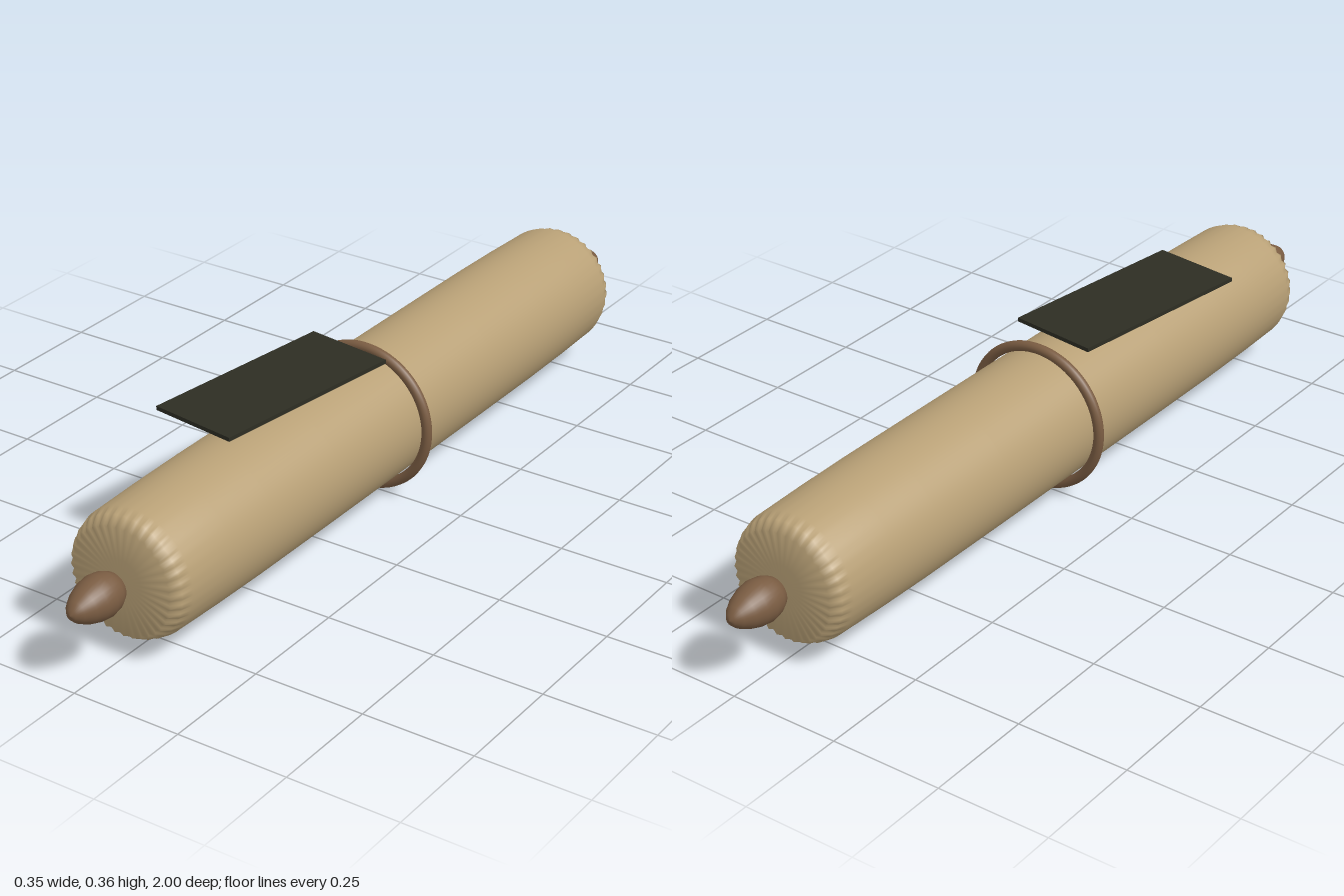
import * as THREE from 'three';
import { mergeVertices } from 'three/addons/utils/BufferGeometryUtils.js';

const AXIS_Y = 0.176;
const PLEATS = 36;

const mat = (name, color) => {
  const m = new THREE.MeshStandardMaterial({ color });
  m.name = name;
  return m;
};

// Lathe along z from [radius, z] pairs, ordered back to front
function latheZ(profile, segments) {
  const g = new THREE.LatheGeometry(profile.map(([r, z]) => new THREE.Vector2(r, z)), segments);
  g.rotateX(Math.PI / 2);
  return g;
}

// Round roll with softly tapered, gathered ends
function rollGeometry() {
  const half = [[0.148, 0.3], [0.1475, 0.53], [0.1455, 0.67], [0.142, 0.8], [0.134, 0.825],
    [0.12, 0.845], [0.05, 0.847], [0, 0.847]];
  const back = half.map(([r, z]) => [r, -z]).reverse();
  const g = latheZ([...back, [0.148, 0], ...half], PLEATS * 4);
  const p = g.attributes.position;
  for (let i = 0; i < p.count; i++) {
    const x = p.getX(i), y = p.getY(i), z = p.getZ(i);
    const r = Math.hypot(x, y);
    if (Math.abs(z) < 0.82 || r < 0.1) continue;
    // pleats ripple only around the end rim
    const depth = Math.abs(z) > 0.84 ? 0.004 : 0.0015;
    const k = 1 + depth * Math.cos(PLEATS * Math.atan2(y, x)) / r;
    p.setXY(i, x * k, y * k);
  }
  g.deleteAttribute('uv');
  g.deleteAttribute('normal');
  const merged = mergeVertices(g, 1e-5);
  merged.computeVertexNormals();
  return merged;
}

export function createModel() {
  const model = new THREE.Group();
  model.name = 'wrappedRoll';
  const wrap = mat('tan cloth', 0xb8a076);
  const wood = mat('brown cord', 0x7a5c42);
  const dark = mat('dark card', 0x2d2d23);

  const add = (name, geometry, material, x = 0, y = AXIS_Y, z = 0) => {
    const mesh = new THREE.Mesh(geometry, material);
    mesh.name = name;
    mesh.position.set(x, y, z);
    model.add(mesh);
    return mesh;
  };

  add('roll', rollGeometry(), wrap);
  add('middleRing', new THREE.TorusGeometry(0.1615, 0.0115, 16, 96), wood);

  // Egg-shaped end knobs, pointed outward
  const knob = latheZ([[0, 0.858], [0.02, 0.86], [0.034, 0.87], [0.043, 0.888], [0.047, 0.912],
    [0.044, 0.936], [0.036, 0.961], [0.024, 0.983], [0.012, 0.996], [0, 1]], 32);
  add('frontKnob', knob, wood);
  add('backKnob', knob, wood).rotation.y = Math.PI;

  // Tag lying slightly askew on top
  const tag = add('tag', new THREE.BoxGeometry(0.207, 0.009, 0.47), dark, -0.04, 0.354, 0.278);
  tag.rotation.y = -0.14;

  return model;
}
